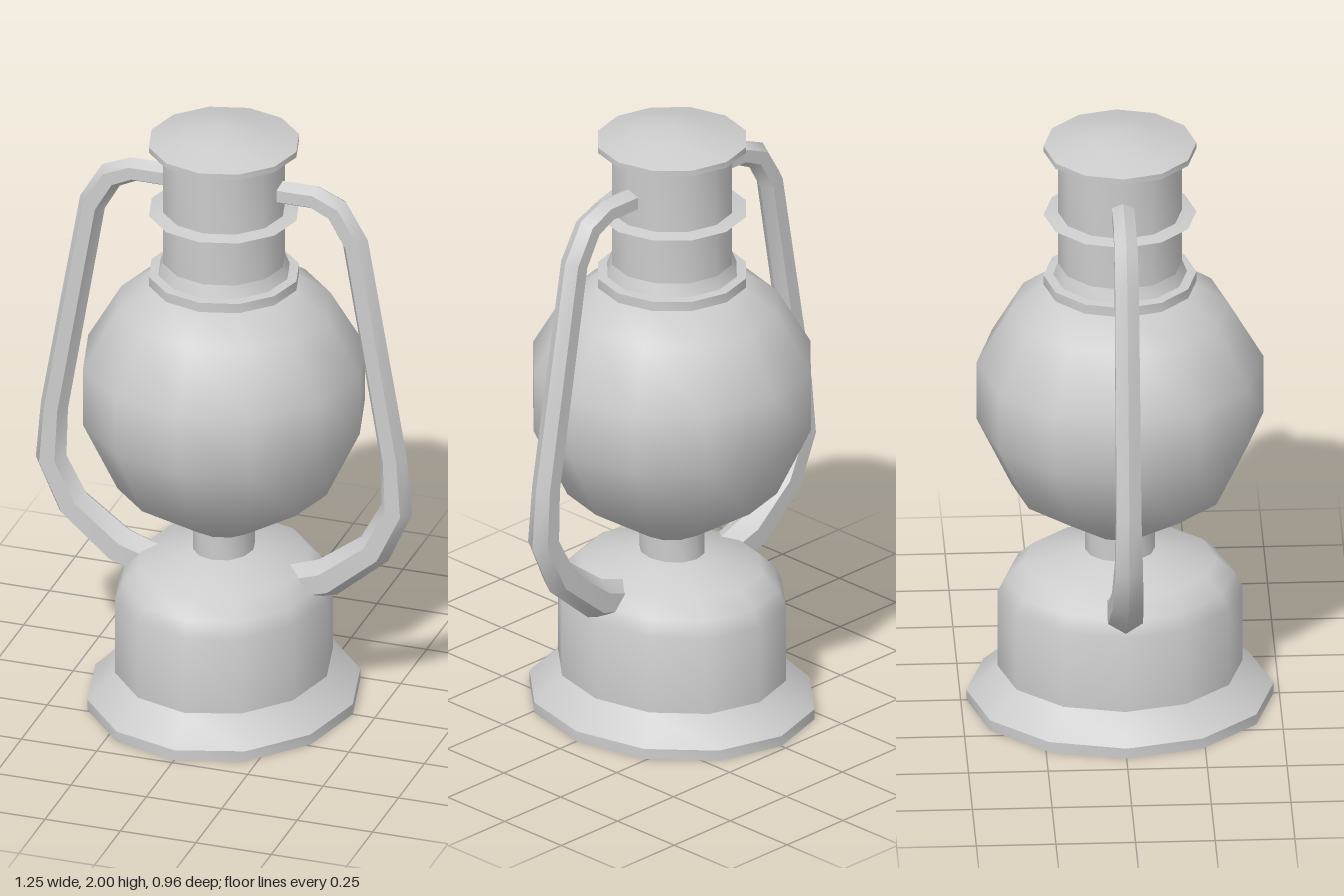
import * as THREE from 'three';
import { toCreasedNormals } from 'three/addons/utils/BufferGeometryUtils.js';

const SIDES = 12;
const material = new THREE.MeshStandardMaterial({ color: 0xcccccc, side: THREE.DoubleSide });

// Turned part from [radius, height] pairs, listed bottom to top
function turned(name, profile) {
  const points = profile.map(([r, y]) => new THREE.Vector2(r, y));
  const geometry = toCreasedNormals(new THREE.LatheGeometry(points, SIDES), 0.75);
  const mesh = new THREE.Mesh(geometry, material);
  mesh.name = name;
  return mesh;
}

// Six-sided tapering bar along a path of [x, y, radius] stations
function hexBar(name, stations) {
  const n = 6, positions = [], index = [];
  const dir = (a, b) => new THREE.Vector2(b[0] - a[0], b[1] - a[1]).normalize();
  stations.forEach((s, i) => {
    const before = dir(stations[Math.max(i - 1, 0)], stations[Math.max(i, 1)]);
    const last = stations.length - 1;
    const after = dir(stations[Math.min(i, last - 1)], stations[Math.min(i + 1, last)]);
    const t = before.clone().add(after).normalize();
    const miter = 1 / t.dot(after);
    for (let j = 0; j < n; j++) {
      const a = (j / n) * Math.PI * 2;
      const out = Math.cos(a) * s[2] * miter;
      positions.push(s[0] - t.y * out, s[1] + t.x * out, Math.sin(a) * s[2]);
      if (i < last) {
        const k = (j + 1) % n, p = i * n;
        index.push(p + j, p + k, p + n + k, p + j, p + n + k, p + n + j);
      }
    }
  });
  const geometry = new THREE.BufferGeometry();
  geometry.setAttribute('position', new THREE.Float32BufferAttribute(positions, 3));
  geometry.setIndex(index);
  const mesh = new THREE.Mesh(toCreasedNormals(geometry, 0.9), material);
  mesh.name = name;
  return mesh;
}

export function createModel() {
  const lantern = new THREE.Group();
  lantern.name = 'lantern';

  // Fuel tank with flared foot and burner neck, slightly narrower in x
  const tank = turned('fuelTank', [
    [0, 0], [0.482, 0], [0.482, 0.035], [0.385, 0.12], [0.385, 0.38],
    [0.36, 0.43], [0.305, 0.48], [0.11, 0.525], [0.11, 0.62],
  ]);
  tank.scale.x = 0.885;
  lantern.add(tank);

  // Glass globe
  lantern.add(turned('globe', [
    [0, 0.6], [0.1, 0.6], [0.34, 0.757], [0.45, 0.99], [0.45, 1.19],
    [0.34, 1.38], [0.23, 1.46], [0, 1.46],
  ]));

  // Collar seated on the globe
  lantern.add(turned('collar', [
    [0, 1.46], [0.24, 1.46], [0.24, 1.492], [0.21, 1.495], [0.195, 1.535], [0, 1.535],
  ]));

  // Chimney with its thin rim
  lantern.add(turned('chimney', [[0.195, 1.5], [0.195, 1.71]]));
  lantern.add(turned('chimneyRim', [[0.19, 1.69], [0.24, 1.705], [0.19, 1.715]]));
  lantern.add(turned('chimneyTop', [[0.195, 1.7], [0.195, 1.93]]));

  // Shallow conical cap
  lantern.add(turned('cap', [[0, 1.928], [0.24, 1.928], [0.24, 1.947], [0.12, 1.98], [0, 2]]));

  // Side frames, the right one being the left turned half a circle
  const path = [
    [0.17, 1.798, 0.04], [0.3, 1.798, 0.04], [0.375, 1.765, 0.042], [0.436, 1.66, 0.043],
    [0.562, 0.925, 0.045], [0.573, 0.745, 0.05], [0.5, 0.595, 0.056],
    [0.345, 0.47, 0.063], [0.22, 0.43, 0.06],
  ];
  const left = hexBar('leftFrame', path);
  const right = hexBar('rightFrame', path);
  right.rotation.y = Math.PI;
  lantern.add(left, right);

  return lantern;
}
